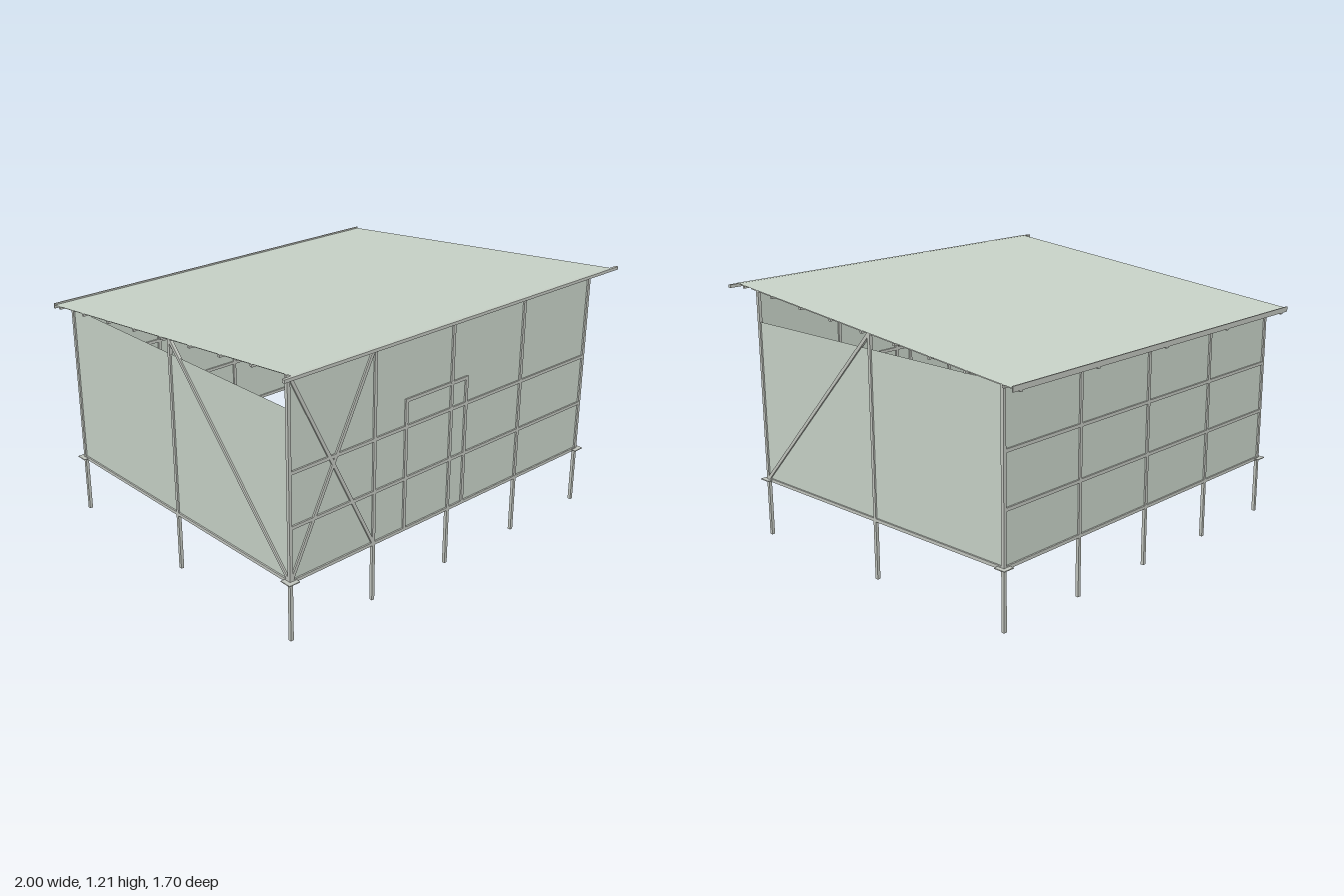
import * as THREE from 'three';

export function createModel() {
  const model = new THREE.Group();
  const sheet = new THREE.MeshStandardMaterial({ color: 0xc6d1c6, side: THREE.DoubleSide });
  sheet.name = 'pale green sheet';
  const steel = new THREE.MeshStandardMaterial({ color: 0xc0c4bd });
  steel.name = 'light grey steel';

  const X = 0.908, Z = 0.757, FLOOR = 0.277, SLOPE = 0.1, T = 0.015;
  const bays = [-X, -X / 2, 0, X / 2, X];
  const roofY = z => 1.12 + SLOPE * z; // top of the roof sheet

  const group = name => {
    const g = new THREE.Group();
    g.name = name;
    model.add(g);
    return g;
  };
  // Square bar between two points
  const bar = (parent, name, a, b, w = T, h = w) => {
    const from = new THREE.Vector3(...a), to = new THREE.Vector3(...b);
    const mesh = new THREE.Mesh(new THREE.BoxGeometry(w, h, from.distanceTo(to)), steel);
    mesh.position.copy(from).lerp(to, 0.5);
    mesh.lookAt(to);
    mesh.name = name;
    parent.add(mesh);
  };
  const panel = (name, w, h, x, y, z, turn) => {
    const mesh = new THREE.Mesh(new THREE.PlaneGeometry(w, h), sheet);
    mesh.position.set(x, y, z);
    mesh.rotation.set(...turn);
    mesh.name = name;
    model.add(mesh);
  };

  // Posts: full height around the walls, short stumps under the middle beam
  const posts = group('posts');
  for (const x of bays) {
    bar(posts, 'frontPost', [x, 0, Z], [x, roofY(Z) - 0.02, Z]);
    bar(posts, 'backPost', [x, 0, -Z], [x, roofY(-Z) - 0.02, -Z]);
    const top = Math.abs(x) === X ? roofY(0) - 0.015 : FLOOR;
    bar(posts, 'middlePost', [x, 0, 0], [x, top, 0]);
  }

  // Floor beams and thin corner plates
  const base = group('floorFrame');
  for (const z of [-Z, 0, Z]) bar(base, 'crossBeam', [-X, FLOOR, z], [X, FLOOR, z]);
  for (const x of [-X, X]) {
    bar(base, 'sideBeam', [x, FLOOR, -Z], [x, FLOOR, Z]);
    for (const z of [-Z, Z]) {
      const plate = new THREE.Mesh(new THREE.BoxGeometry(0.055, 0.004, 0.055), steel);
      plate.position.set(x, FLOOR, z);
      plate.name = 'cornerPlate';
      base.add(plate);
    }
  }

  // Wall rails
  const rails = group('wallRails');
  for (const z of [-Z, Z])
    for (const y of [0.52, 0.76]) bar(rails, 'rail', [-X, y, z], [X, y, z]);

  // Diagonal bracing
  const braces = group('braces');
  const top = roofY(Z) - 0.02;
  bar(braces, 'frontBrace', [-X, FLOOR, Z], [-X / 2, top, Z]);
  bar(braces, 'frontBrace', [-X / 2, FLOOR, Z], [-X, top, Z]);
  for (const x of [-X, X]) bar(braces, 'sideBrace', [x, FLOOR, Z], [x, 1.1, 0]);

  // Door frame
  const door = group('doorFrame');
  for (const x of [-0.273, 0.092]) bar(door, 'doorJamb', [x, FLOOR, Z], [x, 0.88, Z]);
  bar(door, 'doorHead', [-0.28, 0.88, Z], [0.099, 0.88, Z]);

  // Wall sheets
  const frontTop = 1.185, sideTop = 1.032;
  panel('frontWall', 2 * X, frontTop - FLOOR, 0, (frontTop + FLOOR) / 2, Z, [0, 0, 0]);
  const h = sideTop - FLOOR, mid = (sideTop + FLOOR) / 2;
  panel('backWall', 2 * X, h, 0, mid, -Z, [0, Math.PI, 0]);
  for (const s of [-1, 1]) panel('sideWall', 2 * Z, h, s * X, mid, 0, [0, s * Math.PI / 2, 0]);

  // Roof sheet
  const R = 0.85, W = 0.955;
  panel('roofSheet', 2 * W, 2 * R * Math.hypot(1, SLOPE), 0, roofY(0), 0,
    [-Math.PI / 2 - Math.atan(SLOPE), 0, 0]);

  // Rafters, purlins and edge strips
  const roof = group('roofFrame');
  for (const x of bays)
    bar(roof, 'rafter', [x, roofY(0.8) - 0.017, 0.8], [x, roofY(-R) - 0.017, -R], T, 0.011);
  for (let i = 0; i < 9; i++) {
    const z = 0.8 - i * 0.2;
    bar(roof, 'purlin', [-W, roofY(z) - 0.008, z], [W, roofY(z) - 0.008, z], 0.012, 0.011);
  }
  bar(roof, 'frontStrip', [-1, 1.197, 0.843], [1, 1.197, 0.843], 0.014, 0.014);
  bar(roof, 'backStrip', [-W, 1.031, -0.848], [W, 1.031, -0.848], 0.006, 0.024);

  return model;
}
